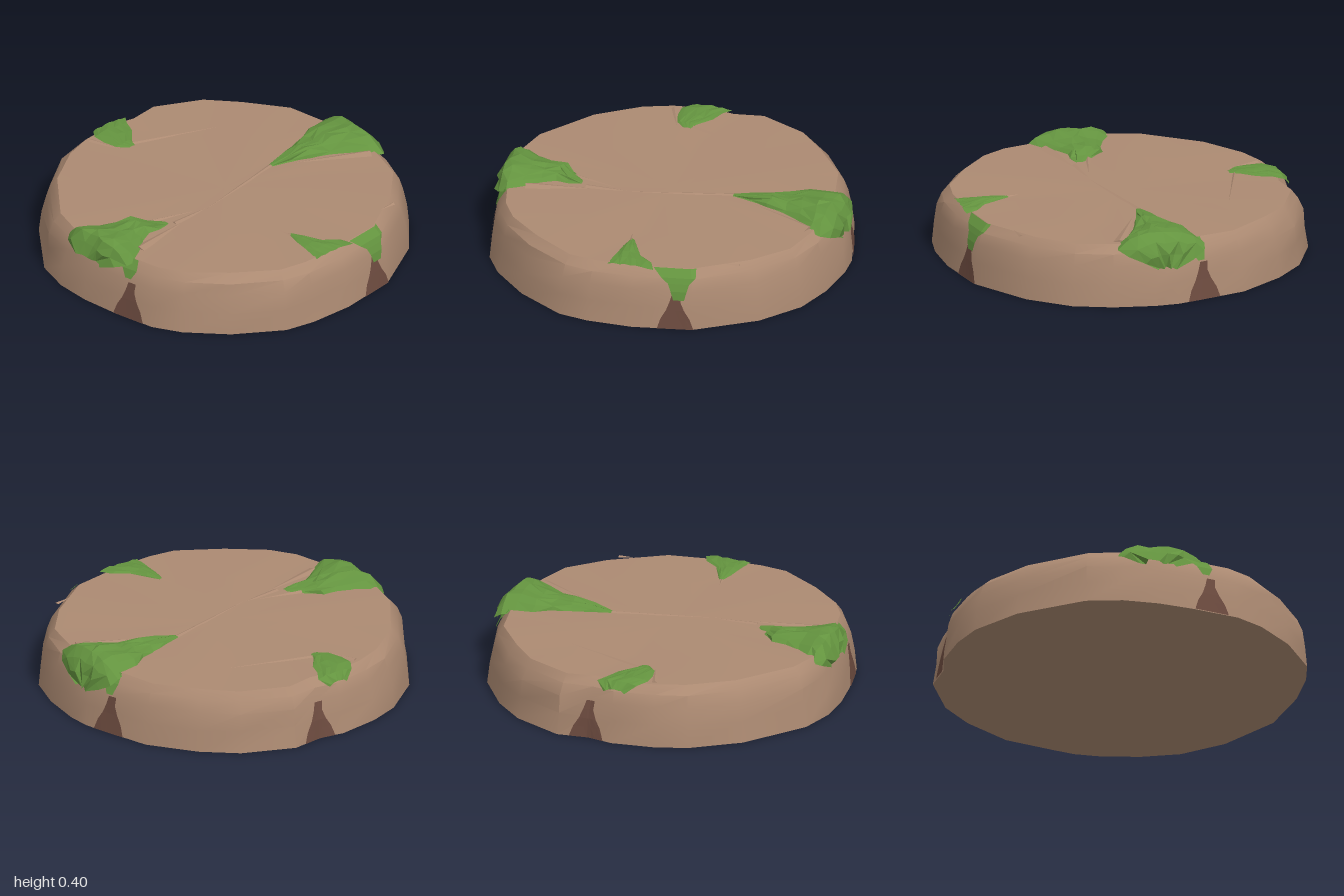
import * as THREE from 'three';
import { toCreasedNormals } from 'three/addons/utils/BufferGeometryUtils.js';

let seed = 7;
function rand() { // seeded, -1..1
  seed = (seed * 16807) % 2147483647;
  return (seed / 2147483647) * 2 - 1;
}

// Outline of the slab at ground level, as [x, z]
const outline = [
  [-0.04, -1], [0.1, -0.97], [0.28, -0.99], [0.56, -0.86], [0.73, -0.7], [0.9, -0.45],
  [0.97, -0.18], [1, -0.05], [1, 0.08], [0.96, 0.31], [0.88, 0.52], [0.7, 0.73],
  [0.38, 0.93], [0.05, 0.99], [-0.2, 0.99], [-0.37, 0.96], [-0.63, 0.8], [-0.82, 0.61],
  [-0.91, 0.46], [-0.97, 0.2], [-1, 0], [-1, -0.2], [-0.95, -0.4], [-0.71, -0.73],
  [-0.46, -0.91], [-0.28, -0.97],
];
const N = outline.length;
const levels = [[0, 1], [0.12, 0.985], [0.22, 0.968], [0.285, 0.945], [0.33, 0.905]]; // [y, scale]
let rings;

function makeRings() {
  seed = 7;
  rings = levels.map(([y, s], k) => outline.map(([x, z]) => {
    const f = s + (k ? rand() * 0.009 : 0);
    return new THREE.Vector3(x * f, y, z * f);
  }));
}

// Point on the slab's side at an angle and height, pushed outward
function onSide(angle, y, out) {
  const dx = Math.cos(angle), dz = Math.sin(angle);
  let i = 0, t = 0;
  for (let n = 0; n < N; n++) {
    const [px, pz] = outline[n], [qx, qz] = outline[(n + 1) % N];
    const a = px * dz - pz * dx, b = qx * dz - qz * dx;
    if (a >= 0 && b < 0 && px * dx + pz * dz > 0) { i = n; t = a / (a - b); }
  }
  let k = 0;
  while (k < levels.length - 2 && y > levels[k + 1][0]) k++;
  const v = (y - levels[k][0]) / (levels[k + 1][0] - levels[k][0]);
  const along = (ring) => ring[i].clone().lerp(ring[(i + 1) % N], t);
  const p = along(rings[k]).lerp(along(rings[k + 1]), v);
  return p.add(new THREE.Vector3(dx * out, out * 0.3, dz * out));
}

function fromPoints(points, index) {
  const g = new THREE.BufferGeometry();
  g.setAttribute('position', new THREE.Float32BufferAttribute(points.flatMap((p) => [p.x, p.y, p.z]), 3));
  g.setIndex(index);
  return g;
}

// Faceted sheet through rows of points
function sheet(rows) {
  const w = rows[0].length, index = [];
  for (let i = 0; i < rows.length - 1; i++) {
    for (let j = 0; j < w - 1; j++) {
      const a = i * w + j, b = a + w;
      if ((i + j) % 2) index.push(a, a + 1, b, a + 1, b + 1, b);
      else index.push(a, a + 1, b + 1, a, b + 1, b);
    }
  }
  const g = fromPoints(rows.flat(), index).toNonIndexed();
  g.computeVertexNormals();
  return g;
}

// Slab body: side rings, gently uneven top, flat base
function slabGeometry() {
  const scaled = (f) => rings[4].map((p) => new THREE.Vector3(p.x * f, 0.331 + rand() * 0.003, p.z * f));
  const all = [...rings, scaled(0.6)];
  const points = all.flat(), index = [];
  for (let k = 0; k < all.length - 1; k++) {
    for (let i = 0; i < N; i++) {
      const a = k * N + i, b = k * N + (i + 1) % N;
      index.push(a, a + N, b, b, a + N, b + N);
    }
  }
  const top = points.push(new THREE.Vector3(0, 0.33, 0)) - 1;
  const base = points.push(new THREE.Vector3(0, 0, 0)) - 1;
  const last = (all.length - 1) * N;
  for (let i = 0; i < N; i++) {
    const j = (i + 1) % N;
    index.push(top, last + j, last + i, base, i, j);
  }
  return toCreasedNormals(fromPoints(points, index), 0.5);
}

// Thin patch on the side; rows of [y, half width, shift] from high to low
function sidePatch(angle, rows, out) {
  const cols = 9;
  return sheet(rows.map(([y, half, shift = 0]) => Array.from({ length: cols }, (_, j) =>
    onSide(angle + shift + half * ((2 * j) / (cols - 1) - 1), y, out))));
}

// Lumpy clump running outward; stations of [distance, from, to, edge height, crest height]
function mossClump(angle, stations, lump) {
  const c = Math.cos(angle), s = Math.sin(angle), cols = 9;
  return sheet(stations.map(([r, w0, w1, y0, y1], n) => Array.from({ length: cols }, (_, j) => {
    const t = j / (cols - 1), inner = j > 0 && j < cols - 1 && n > 0;
    const dome = Math.pow(Math.sin(Math.PI * t), 0.6);
    const k = inner ? lump : 0;
    const d = r + rand() * k, w = w0 + (w1 - w0) * t + rand() * k;
    return new THREE.Vector3(d * c - w * s, y0 + (y1 - y0) * dome + rand() * k * 0.6, d * s + w * c);
  })));
}

// Low sharp ridge tapering from a wide end to a point
function ridge([x0, z0], [x1, z1], width, height) {
  const len = Math.hypot(x1 - x0, z1 - z0);
  const nx = (-(z1 - z0) / len) * width, nz = ((x1 - x0) / len) * width;
  const P = (x, y, z) => new THREE.Vector3(x, y, z);
  const g = fromPoints([
    P(x0 - nx, 0.328, z0 - nz), P(x0, 0.332 + height, z0), P(x0 + nx, 0.328, z0 + nz), P(x1, 0.332, z1),
  ], [0, 1, 3, 1, 2, 3, 0, 2, 1]).toNonIndexed();
  g.computeVertexNormals();
  return g;
}

export function createModel() {
  makeRings();
  const group = new THREE.Group();
  const material = (name, color) => {
    const m = new THREE.MeshStandardMaterial({ color });
    m.name = name;
    return m;
  };
  const stone = material('sandy stone', 0xac8a72);
  const earth = material('dark earth', 0x6e4c40);
  const green = material('moss green', 0x64943f);
  const add = (name, geometry, mat) => {
    const mesh = new THREE.Mesh(geometry, mat);
    mesh.name = name;
    group.add(mesh);
  };

  add('stoneSlab', slabGeometry(), stone);

  // Earth wedges rising from the ground, one per side
  const wedge = [[0.21, 0.025, -0.01], [0.16, 0.03], [0.11, 0.05], [0.06, 0.08], [0, 0.1]];
  const sides = { front: 1.28, right: -0.21, back: -1.46, left: 2.83 };
  for (const [side, angle] of Object.entries(sides)) add(`${side}EarthWedge`, sidePatch(angle, wedge, 0.005), earth);

  // Moss running down the sides
  add('frontMossDrip', sidePatch(1.26, [[0.33, 0.13, 0.02], [0.29, 0.1], [0.26, 0.06], [0.22, 0.045], [0.17, 0.03]], 0.009), green);
  add('rightMossDrip', sidePatch(-0.19, [[0.33, 0.07, 0.03], [0.28, 0.05], [0.22, 0.02, -0.01]], 0.009), green);
  add('leftMossDrip', sidePatch(2.85, [[0.33, 0.07, 0.03], [0.28, 0.05], [0.23, 0.02]], 0.009), green);

  // Moss clumps on the rim
  add('rightMossClump', mossClump(0, [
    [0.34, -0.03, 0.01, 0.325, 0.335], [0.45, -0.06, 0.05, 0.325, 0.35], [0.56, -0.1, 0.08, 0.325, 0.37],
    [0.66, -0.12, 0.12, 0.325, 0.37], [0.75, -0.18, 0.17, 0.325, 0.38], [0.84, -0.2, 0.25, 0.32, 0.395],
    [0.91, -0.22, 0.27, 0.31, 0.39], [0.955, -0.21, 0.22, 0.28, 0.345], [0.98, -0.14, 0.13, 0.24, 0.28],
    [0.985, -0.04, 0.06, 0.2, 0.21],
  ], 0.014), green);
  add('leftMossClump', mossClump(Math.PI, [
    [0.49, -0.12, -0.06, 0.325, 0.335], [0.56, -0.13, 0.02, 0.325, 0.35], [0.63, -0.12, 0.09, 0.325, 0.365],
    [0.71, -0.16, 0.1, 0.325, 0.365], [0.8, -0.23, 0.14, 0.325, 0.375], [0.87, -0.28, 0.2, 0.32, 0.385],
    [0.92, -0.26, 0.22, 0.3, 0.38], [0.96, -0.2, 0.19, 0.28, 0.33], [0.98, -0.1, 0.1, 0.24, 0.26],
  ], 0.014), green);
  add('frontMossClump', mossClump(Math.PI / 2, [
    [0.62, 0.04, 0.06, 0.332, 0.336], [0.7, 0, 0.08, 0.332, 0.345], [0.78, -0.04, 0.09, 0.332, 0.345],
    [0.84, -0.12, 0.1, 0.332, 0.343], [0.91, -0.15, 0.11, 0.328, 0.338],
  ], 0.006), green);
  add('backMossClump', mossClump(-Math.PI / 2, [
    [0.65, -0.13, -0.09, 0.333, 0.336], [0.7, -0.18, -0.07, 0.333, 0.342], [0.78, -0.2, 0, 0.333, 0.345],
    [0.86, -0.2, 0.03, 0.333, 0.345], [0.92, -0.16, 0.07, 0.325, 0.337], [0.955, -0.1, 0.02, 0.28, 0.3],
  ], 0.006), green);

  // Sharp stone ridges along the cracks
  const ridges = [
    [[-0.46, 0.12], [-0.23, 0.11], 0.03, 0.006], [[-0.56, 0.02], [-0.3, 0.09], 0.02, 0.008],
    [[0.42, -0.03], [-0.24, 0.12], 0.02, 0.004], [[-0.12, -0.69], [0.38, -0.51], 0.012, 0.006],
    [[-0.24, -0.85], [-0.17, -0.66], 0.02, 0.006], [[-0.05, 0.66], [-0.07, 0.55], 0.015, 0.006],
    [[0.84, 0.24], [0.45, 0.05], 0.04, 0.012], [[-0.78, 0.2], [-0.42, 0.14], 0.04, 0.01],
    [[0.59, 0.73], [0.49, 0.74], 0.012, 0.004],
  ];
  for (const r of ridges) add('crackRidge', ridge(...r), stone);

  return group;
}
